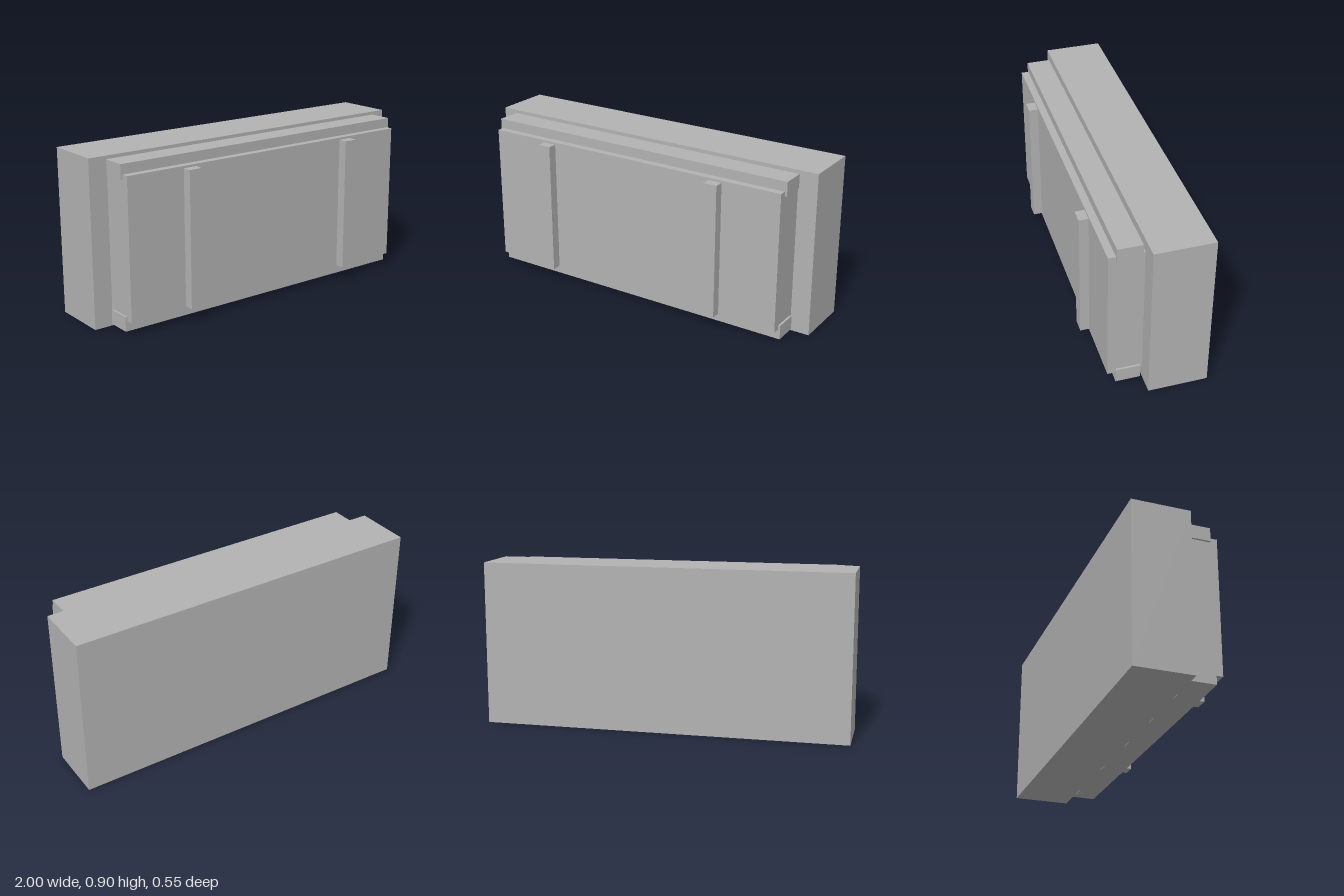
import * as THREE from 'three';

export function createModel() {
  const model = new THREE.Group();
  const grey = new THREE.MeshStandardMaterial({ color: 0xb2b2b2 });
  grey.name = 'plain grey';

  // Box given by its [min, max] extents on each axis
  function box(name, [x0, x1], [y0, y1], [z0, z1]) {
    const mesh = new THREE.Mesh(new THREE.BoxGeometry(x1 - x0, y1 - y0, z1 - z0), grey);
    mesh.position.set((x0 + x1) / 2, (y0 + y1) / 2, (z0 + z1) / 2);
    mesh.name = name;
    model.add(mesh);
  }

  // Large rear block
  box('rearBlock', [-1, 1], [0, 0.896], [-0.276, 0.04]);

  // Front panel standing off the block
  box('frontPanel', [-0.897, 0.893], [0.068, 0.829], [0.04, 0.225]);

  // Horizontal rails capping the panel's upper and lower edges
  box('topRail', [-0.908, 0.905], [0.805, 0.882], [0.054, 0.185]);
  box('bottomRail', [-0.908, 0.905], [0.015, 0.093], [0.054, 0.185]);

  // Upright battens on the panel face
  for (const [name, x] of [['rightBatten', -0.528], ['leftBatten', 0.524]]) {
    box(name, [x - 0.038, x + 0.038], [0.081, 0.817], [0.225, 0.276]);
  }

  return model;
}
